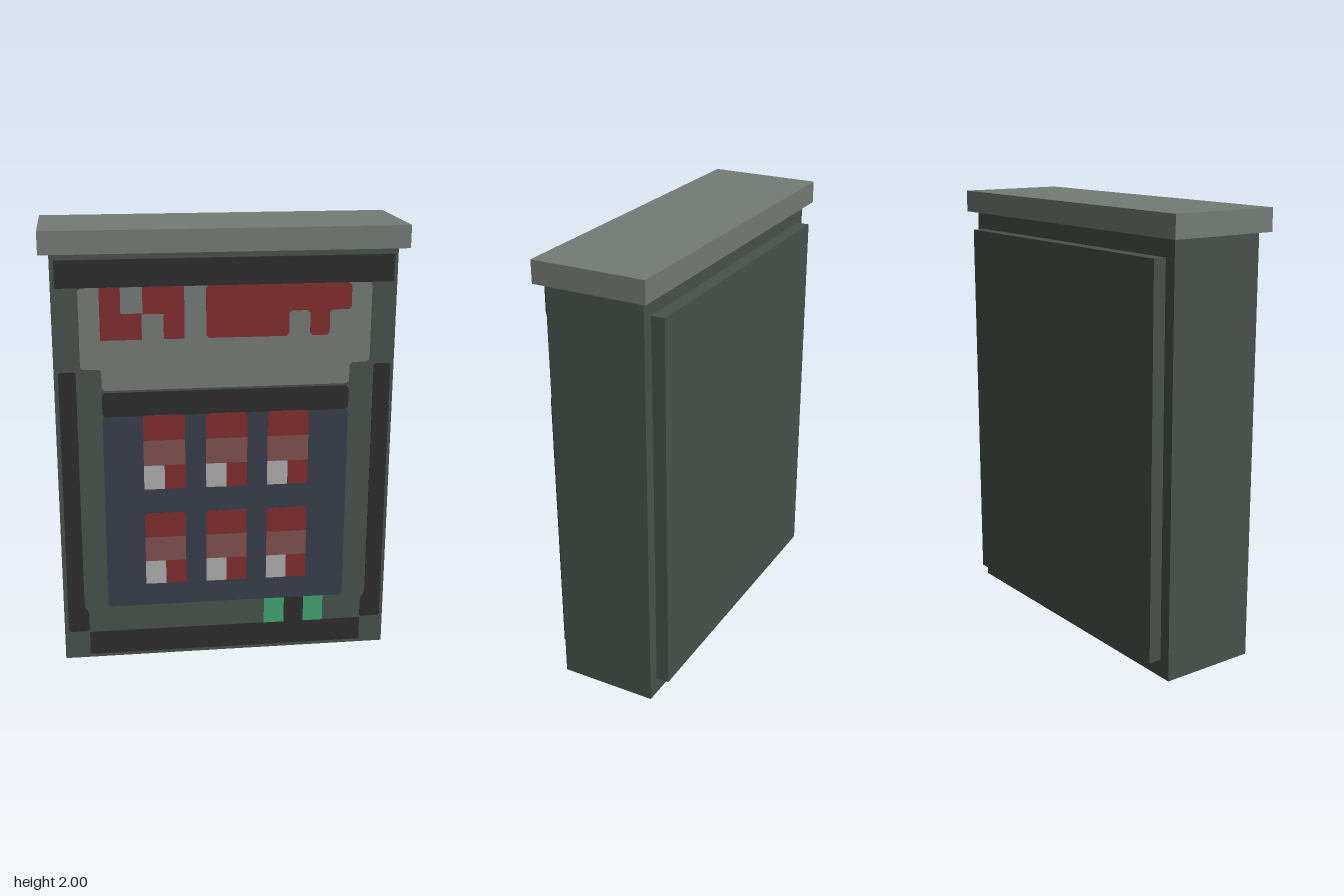
import * as THREE from 'three';

const mat = (name, color) => Object.assign(new THREE.MeshStandardMaterial({ color }), { name });

export function createModel() {
  const M = {
    body: mat('dark green grey', 0x48514b),
    light: mat('light green grey', 0x747b76),
    black: mat('black', 0x2d2d2d),
    navy: mat('navy', 0x373e4b),
    red: mat('red', 0x802d2f),
    dull: mat('dull red', 0x804f4f),
    white: mat('pale grey', 0xacacac),
    green: mat('green', 0x40a371),
  };
  const model = new THREE.Group();
  model.name = 'cabinet';

  // Box from its minimum and maximum corners
  const box = (name, m, x0, x1, y0, y1, z0, z1) => {
    const mesh = new THREE.Mesh(new THREE.BoxGeometry(x1 - x0, y1 - y0, z1 - z0), m);
    mesh.position.set((x0 + x1) / 2, (y0 + y1) / 2, (z0 + z1) / 2);
    mesh.name = name;
    model.add(mesh);
    return mesh;
  };

  // Flat outline with slightly clipped corners, extruded along z
  const plate = (name, m, pts, z0, z1, clip = 0.012) => {
    const v = pts.map(([x, y]) => new THREE.Vector2(x, y));
    const out = [];
    v.forEach((p, i) => {
      for (const q of [v[(i + v.length - 1) % v.length], v[(i + 1) % v.length]]) {
        out.push(p.clone().add(q.clone().sub(p).setLength(clip)));
      }
    });
    const geo = new THREE.ExtrudeGeometry(new THREE.Shape(out), { depth: z1 - z0, bevelEnabled: false });
    const mesh = new THREE.Mesh(geo, m);
    mesh.position.z = z0;
    mesh.name = name;
    model.add(mesh);
    return mesh;
  };
  const rect = (x0, x1, y0, y1) => [[x0, y0], [x1, y0], [x1, y1], [x0, y1]];

  // Case, overhanging lid, back panel and front panel
  box('body', M.body, -0.755, 0.755, 0, 1.9, -0.21, 0.24);
  box('lid', M.light, -0.8, 0.8, 1.9, 2, -0.245, 0.27);
  box('backPanel', M.body, -0.7, 0.7, 0.08, 1.82, -0.27, -0.21);
  box('frontPanel', M.body, -0.735, 0.735, 0.025, 1.872, 0.24, 0.254);

  // Black frame around the front
  const zf = 0.257;
  box('topBand', M.black, -0.736, 0.736, 1.755, 1.873, 0.24, zf);
  box('bottomBand', M.black, -0.64, 0.64, 0.024, 0.137, 0.24, zf);
  for (const s of [-1, 1]) {
    const pts = [[0.736, 0.143], [0.736, 1.387], [0.66, 1.387], [0.66, 0.27], [0.64, 0.235], [0.64, 0.143]];
    plate('sideBand', M.black, pts.map(([x, y]) => [x * s, y]), 0.24, zf, 0.008);
  }

  // Light header with stepped lower corners
  plate('header', M.light, [
    [-0.64, 1.755], [-0.64, 1.397], [-0.55, 1.397], [-0.55, 1.3],
    [0.55, 1.3], [0.55, 1.397], [0.64, 1.397], [0.64, 1.755],
  ], 0.254, zf);

  // Red abstract blocks hanging from the top band
  const zr = 0.259;
  plate('redPatternLeft', M.red, [
    [-0.55, 1.755], [-0.55, 1.525], [-0.37, 1.525], [-0.37, 1.637], [-0.275, 1.637],
    [-0.275, 1.525], [-0.185, 1.525], [-0.185, 1.755], [-0.365, 1.755],
    [-0.365, 1.64], [-0.46, 1.64], [-0.46, 1.755],
  ], zf, zr, 0.002);
  plate('redPatternRight', M.red, [
    [-0.09, 1.755], [-0.09, 1.525], [0.275, 1.525], [0.275, 1.637], [0.368, 1.637],
    [0.368, 1.525], [0.455, 1.525], [0.455, 1.637], [0.55, 1.637], [0.55, 1.755],
  ], zf, zr);

  // Display window with a dark shade along its top
  plate('displayShade', M.black, rect(-0.55, 0.55, 1.18, 1.29), 0.254, zf);
  plate('displayWindow', M.navy, rect(-0.55, 0.55, 0.263, 1.18), 0.254, zf);

  // Two rows of three goods
  for (const top of [1.182, 0.718]) {
    for (const x of [-0.28, 0, 0.278]) {
      const l = x - 0.093, r = x + 0.093;
      plate('itemTop', M.red, rect(l, r, top - 0.117, top), zf, zr);
      box('itemMiddle', M.dull, l, r, top - 0.235, top - 0.117, zf, zr);
      box('itemLabel', M.white, l, x, top - 0.348, top - 0.235, zf, zr);
      box('itemBase', M.red, x, r, top - 0.348, top - 0.235, zf, zr);
    }
  }

  // Green lights either side of a dark slot
  box('slot', M.black, 0.273, 0.365, 0.137, 0.263, 0.254, zf);
  box('greenLight', M.green, 0.178, 0.273, 0.137, 0.263, 0.254, zf);
  box('greenLight', M.green, 0.365, 0.458, 0.137, 0.263, 0.254, zf);

  return model;
}
